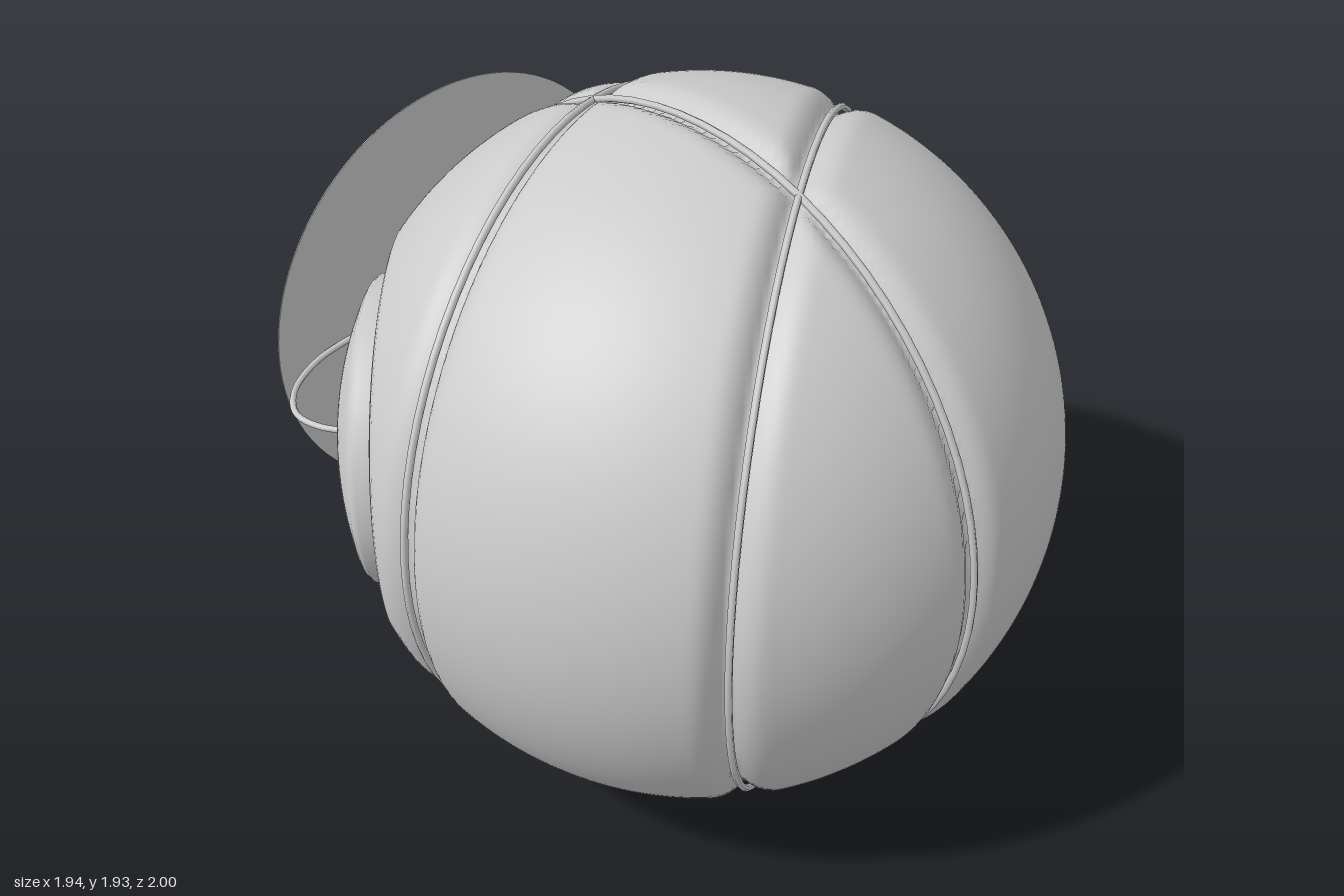
import * as THREE from 'three';
import { mergeVertices } from 'three/addons/utils/BufferGeometryUtils.js';

const R = 0.97;
const CENTRE = new THREE.Vector3(0, 0.97, 0.03);
const BUTTON_DIR = new THREE.Vector3(-0.697, 0, -0.717).normalize();

// Seams are circles cut by vertical planes: normal and distance from the ball's centre
const SEAMS = [
  { normal: new THREE.Vector3(1, 0, 0), offset: 0 },
  { normal: new THREE.Vector3(0.325, 0, 0.946).normalize(), offset: -0.375 },
  { normal: new THREE.Vector3(0.543, 0, 0.84).normalize(), offset: 0.274 },
];

// Radius over the angle from the button axis (degrees): button, ring groove, shoulder
const RING = [[0, R], [24.5, R], [26.5, 0.955], [27.4, 0.87], [29.4, 0.865], [31.2, 0.95], [34.5, R], [180, R]];

function ringRadius(deg) {
  const i = Math.max(1, RING.findIndex(([a]) => a >= deg));
  const [a0, r0] = RING[i - 1], [a1, r1] = RING[i];
  return THREE.MathUtils.lerp(r0, r1, (deg - a0) / (a1 - a0));
}

// Ball with its poles on the button axis, pressed in along every seam
function ballGeometry() {
  let geo = new THREE.SphereGeometry(1, 220, 160);
  geo.deleteAttribute('uv');
  geo.deleteAttribute('normal');
  geo = mergeVertices(geo, 1e-5);
  geo.applyQuaternion(new THREE.Quaternion().setFromUnitVectors(new THREE.Vector3(0, 1, 0), BUTTON_DIR));
  const pos = geo.attributes.position, v = new THREE.Vector3();
  for (let i = 0; i < pos.count; i++) {
    v.fromBufferAttribute(pos, i).normalize();
    let r = ringRadius(THREE.MathUtils.radToDeg(v.angleTo(BUTTON_DIR)));
    let dent = 0;
    for (const { normal, offset } of SEAMS) {
      const t = Math.abs(v.dot(normal) * R - offset);
      if (t < 0.085) dent = Math.max(dent, 0.05 * (1 - t / 0.085) ** 2);
    }
    r -= dent;
    pos.setXYZ(i, v.x * r, v.y * r, v.z * r);
  }
  geo.computeVertexNormals();
  return geo;
}

export function createModel() {
  const group = new THREE.Group();
  const material = new THREE.MeshStandardMaterial({ color: 0xcccccc, side: THREE.DoubleSide });
  const add = (name, geo, parent = group) => {
    const mesh = new THREE.Mesh(geo, material);
    mesh.name = name;
    parent.add(mesh);
    return mesh;
  };

  // Ball with the round button set in its ring groove
  add('ball', ballGeometry()).position.copy(CENTRE);

  // Thin cords lying in the seams
  const cords = new THREE.Group();
  cords.name = 'seamCords';
  group.add(cords);
  for (const { normal, offset } of SEAMS) {
    const radius = Math.sqrt(0.95 ** 2 - offset ** 2);
    const cord = add('seamCord', new THREE.TorusGeometry(radius, 0.01, 6, 72), cords);
    cord.quaternion.setFromUnitVectors(new THREE.Vector3(0, 0, 1), normal);
    cord.position.copy(CENTRE).addScaledVector(normal, offset);
  }

  // Hub and back disc
  const hub = add('hub', new THREE.CylinderGeometry(0.13, 0.13, 0.045, 48).rotateX(Math.PI / 2));
  hub.position.set(0, 0.975, -0.975);
  const disc = add('backDisc', new THREE.CylinderGeometry(0.65, 0.65, 0.004, 96).rotateX(Math.PI / 2));
  disc.position.set(0, 0.975, -0.998);

  // Wire looping from the hub to the button
  const path = new THREE.CatmullRomCurve3([
    [-0.12, -0.97], [-0.25, -0.982], [-0.4, -0.99], [-0.55, -0.965], [-0.68, -0.89],
    [-0.735, -0.8], [-0.725, -0.72], [-0.685, -0.65],
  ].map(([x, z]) => new THREE.Vector3(x, 0.97, z)));
  add('wire', new THREE.TubeGeometry(path, 48, 0.009, 8));

  return group;
}
